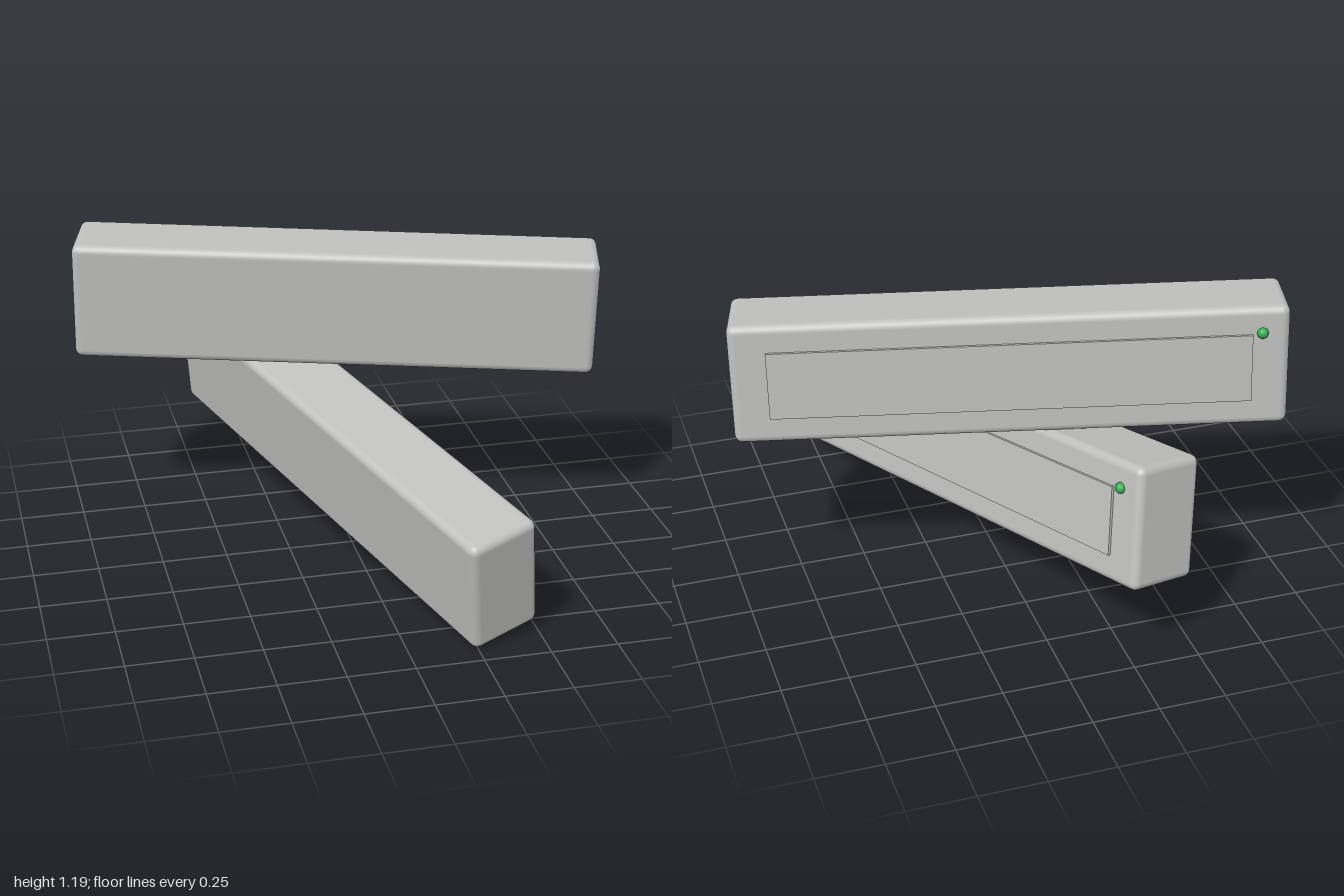
import * as THREE from 'three';
import { RoundedBoxGeometry } from 'three/addons/geometries/RoundedBoxGeometry.js';

const LENGTH = 2.01, HEIGHT = 0.465, DEPTH = 0.285;

export function createModel() {
  const gray = new THREE.MeshStandardMaterial({ color: 0xbfbfbd });
  gray.name = 'light gray';
  const green = new THREE.MeshStandardMaterial({ color: 0x2fae4e });
  green.name = 'indicator green';

  const bodyGeometry = new RoundedBoxGeometry(LENGTH, HEIGHT, DEPTH, 3, 0.03);
  const panelGeometry = new THREE.BoxGeometry(1.74, 0.26, 0.02);
  const lightGeometry = new THREE.SphereGeometry(0.021, 12, 8);

  const add = (parent, name, geometry, material, x = 0, y = 0, z = 0) => {
    const mesh = new THREE.Mesh(geometry, material);
    mesh.name = name;
    mesh.position.set(x, y, z);
    parent.add(mesh);
  };

  // One bar: +x runs along it to the light, +z faces out of the panel
  const makeBar = (name, centre, along, up) => {
    const bar = new THREE.Group();
    bar.name = name;
    add(bar, 'body', bodyGeometry, gray);
    add(bar, 'raisedPanel', panelGeometry, gray, 0, 0, DEPTH / 2);
    add(bar, 'indicatorLight', lightGeometry, green, 0.905, 0.135, DEPTH / 2);

    // Square up the axes and lay the bar along them
    const x = new THREE.Vector3(...along).normalize();
    const z = x.clone().cross(new THREE.Vector3(...up)).normalize();
    const y = z.clone().cross(x);
    bar.quaternion.setFromRotationMatrix(new THREE.Matrix4().makeBasis(x, y, z));
    bar.position.set(...centre);
    return bar;
  };

  const model = new THREE.Group();
  model.name = 'crossedBars';
  model.add(
    makeBar('lowerBar', [-0.018, 0.394, 0], [-0.72, 0.30, -1.82], [-0.045, 0.44, 0.09]),
    makeBar('upperBar', [0, 0.931, -0.275], [-1.915, 0.045, -0.52], [0.002, 0.45, 0.03]),
  );
  return model;
}
